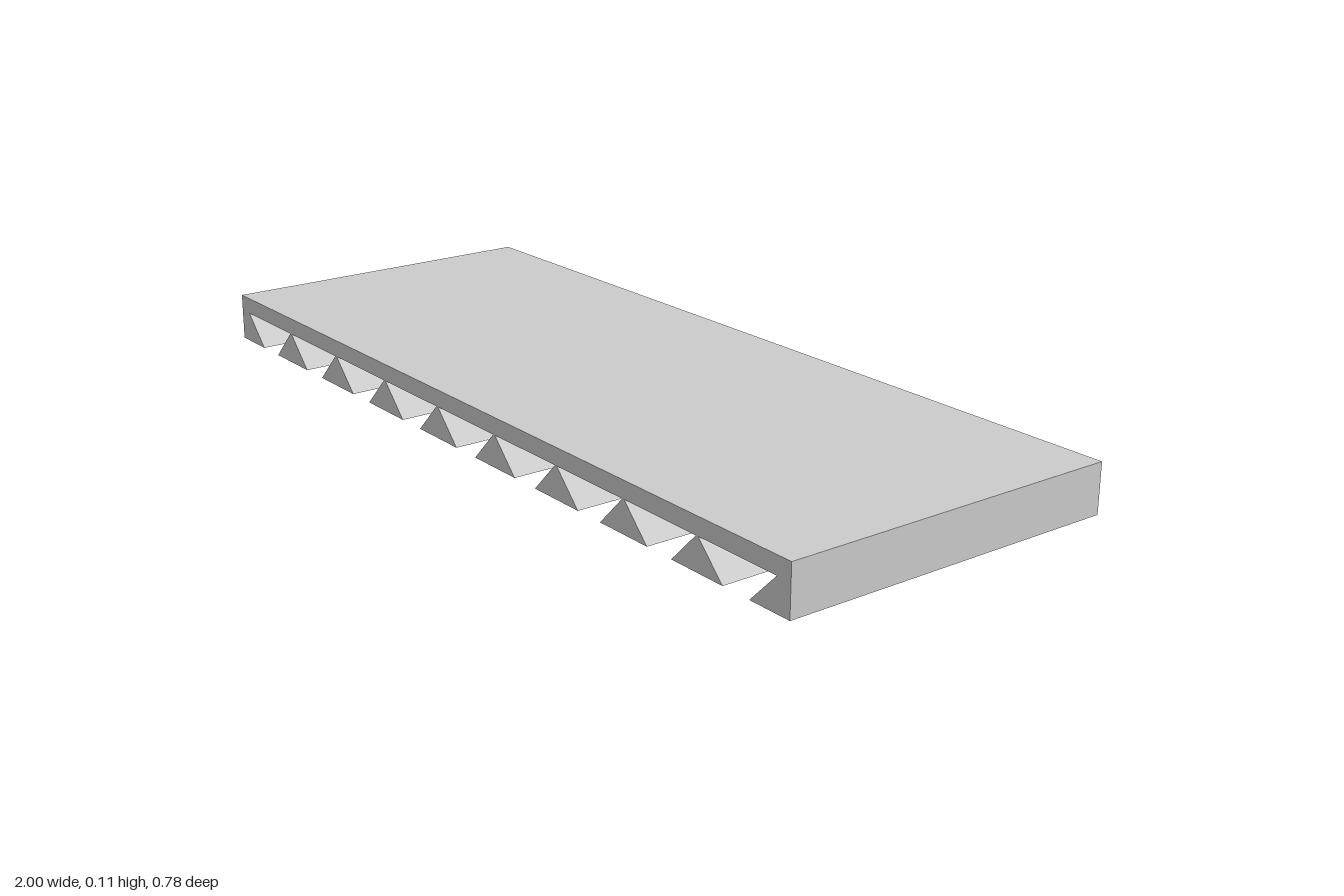
import * as THREE from 'three';

const HEIGHT = 0.108, DEPTH = 0.776;
const GROOVE_TOP = 0.07;   // underside of the slab between ribs
const PITCH = 0.215;       // spacing of the ribs
const RIBS = 10;           // including the two half-ribs at the ends
const FOOT = 0.072, NECK = 0.003; // rib half-widths at bottom and top

export function createModel() {
  const group = new THREE.Group();
  group.name = 'dovetailPanel';

  // Cross-section: flat slab whose underside is cut by dovetail grooves
  const profile = new THREE.Shape();
  profile.moveTo(1, HEIGHT);
  profile.lineTo(-1, HEIGHT);
  profile.lineTo(-1, 0);
  for (let i = 0; i < RIBS - 1; i++) {
    const left = (i - (RIBS - 1) / 2) * PITCH;
    const right = left + PITCH;
    profile.lineTo(left + FOOT, 0);
    profile.lineTo(left + NECK, GROOVE_TOP);
    profile.lineTo(right - NECK, GROOVE_TOP);
    profile.lineTo(right - FOOT, 0);
  }
  profile.lineTo(1, 0);
  profile.closePath();

  // Sweep the cross-section from back to front
  const geometry = new THREE.ExtrudeGeometry(profile, { depth: DEPTH, bevelEnabled: false });
  geometry.translate(0, 0, -DEPTH / 2);
  const panel = new THREE.Mesh(
    geometry,
    new THREE.MeshStandardMaterial({ color: 0xcccccc, flatShading: true })
  );
  panel.name = 'ribbedSlab';
  group.add(panel);
  return group;
}
